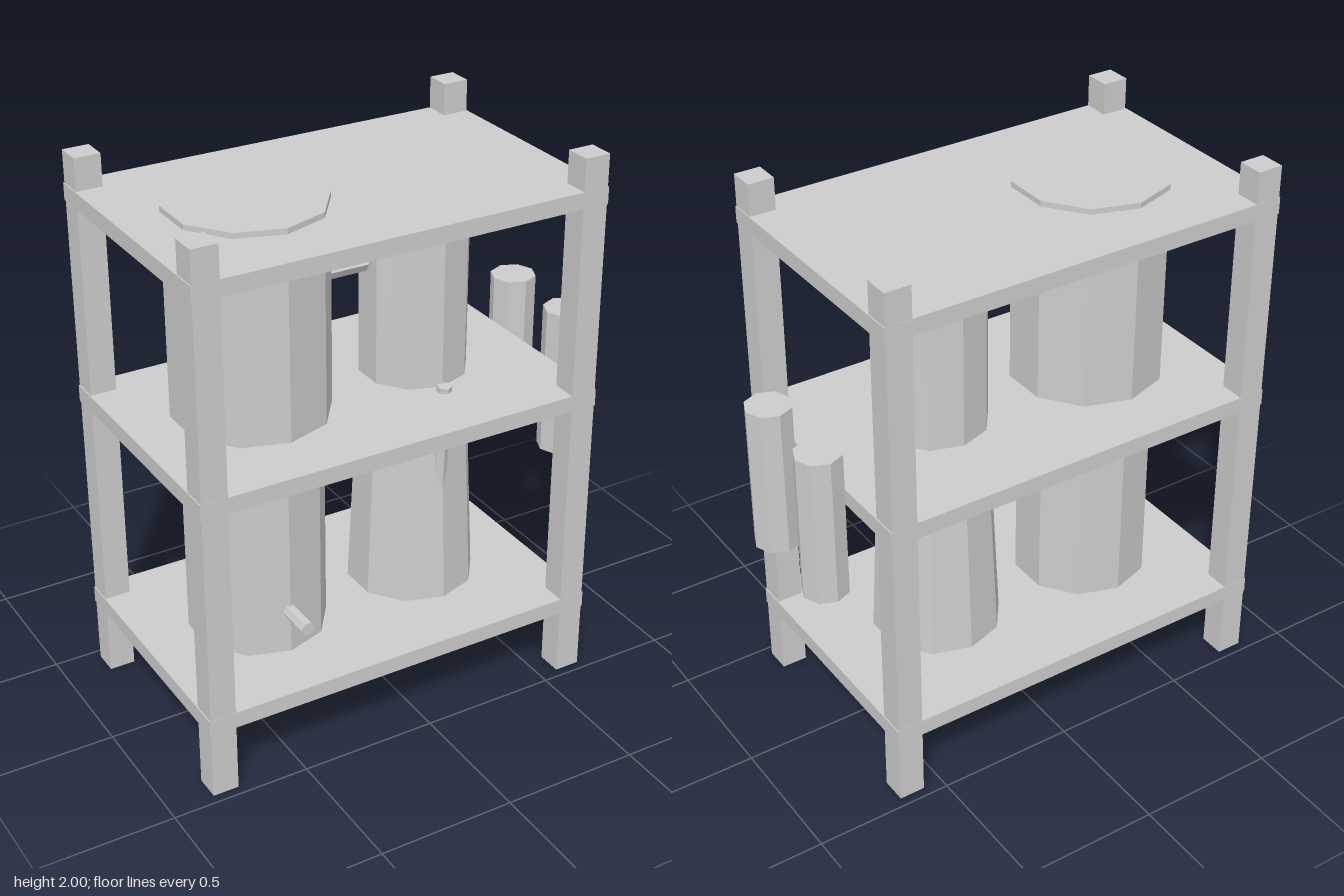
import * as THREE from 'three';

export function createModel() {
  const root = new THREE.Group();
  root.name = 'tankRack';
  const grey = new THREE.MeshStandardMaterial({ color: 0xcccccc, flatShading: true });
  grey.name = 'plain grey';

  function add(name, geometry, x, y, z) {
    const mesh = new THREE.Mesh(geometry, grey);
    mesh.name = name;
    mesh.position.set(x, y, z);
    root.add(mesh);
    return mesh;
  }

  // Upright faceted vessel between two heights
  function vessel(name, x, z, y0, y1, rTop, rBottom, sides) {
    return add(name, new THREE.CylinderGeometry(rTop, rBottom, y1 - y0, sides), x, (y0 + y1) / 2, z);
  }

  // Hexagonal pipe from one point to another
  function pipe(name, from, to, radius, roll = 0) {
    const a = new THREE.Vector3(...from), b = new THREE.Vector3(...to);
    const dir = b.clone().sub(a), mid = a.clone().lerp(b, 0.5);
    const geometry = new THREE.CylinderGeometry(radius, radius, dir.length(), 6);
    geometry.rotateY(roll);
    const mesh = add(name, geometry, mid.x, mid.y, mid.z);
    mesh.quaternion.setFromUnitVectors(new THREE.Vector3(0, 1, 0), dir.normalize());
    return mesh;
  }

  // Frame: four posts and three shelves
  const frameX = -0.086;
  for (const sx of [-1, 1]) {
    for (const sz of [-1, 1]) {
      add('post', new THREE.BoxGeometry(0.094, 2, 0.094), frameX + sx * 0.705, 1, sz * 0.418);
    }
  }
  for (const y of [0.28, 1.11, 1.855]) {
    add('shelf', new THREE.BoxGeometry(1.512, 0.06, 0.932), frameX, y, 0);
  }

  // Tanks on the shelves
  vessel('upperLargeTank', -0.415, 0, 1.15, 1.905, 0.276, 0.276, 10);
  vessel('upperSmallTank', 0.22, 0, 1.15, 1.84, 0.194, 0.194, 10);
  vessel('lowerTank', -0.415, 0, 0.31, 0.94, 0.248, 0.248, 10);
  vessel('taperedTank', 0.22, 0, 0.31, 0.91, 0.206, 0.234, 10);

  // Bottles hung on the left side
  for (const z of [-0.165, 0.165]) {
    vessel('sideBottle', 0.753, z, 0.76, 1.31, 0.083, 0.083, 8);
  }

  // Pipes: tap, link between upper tanks, feed into the tapered tank
  pipe('tap', [-0.415, 0.472, 0.22], [-0.415, 0.472, 0.37], 0.026, Math.PI / 6);
  pipe('linkPipe', [-0.14, 1.59, 0], [0.022, 1.59, 0], 0.034);
  pipe('feedPipe', [0.218, 1.16, 0.21], [0.218, 0.74, 0.185], 0.027);

  return root;
}
